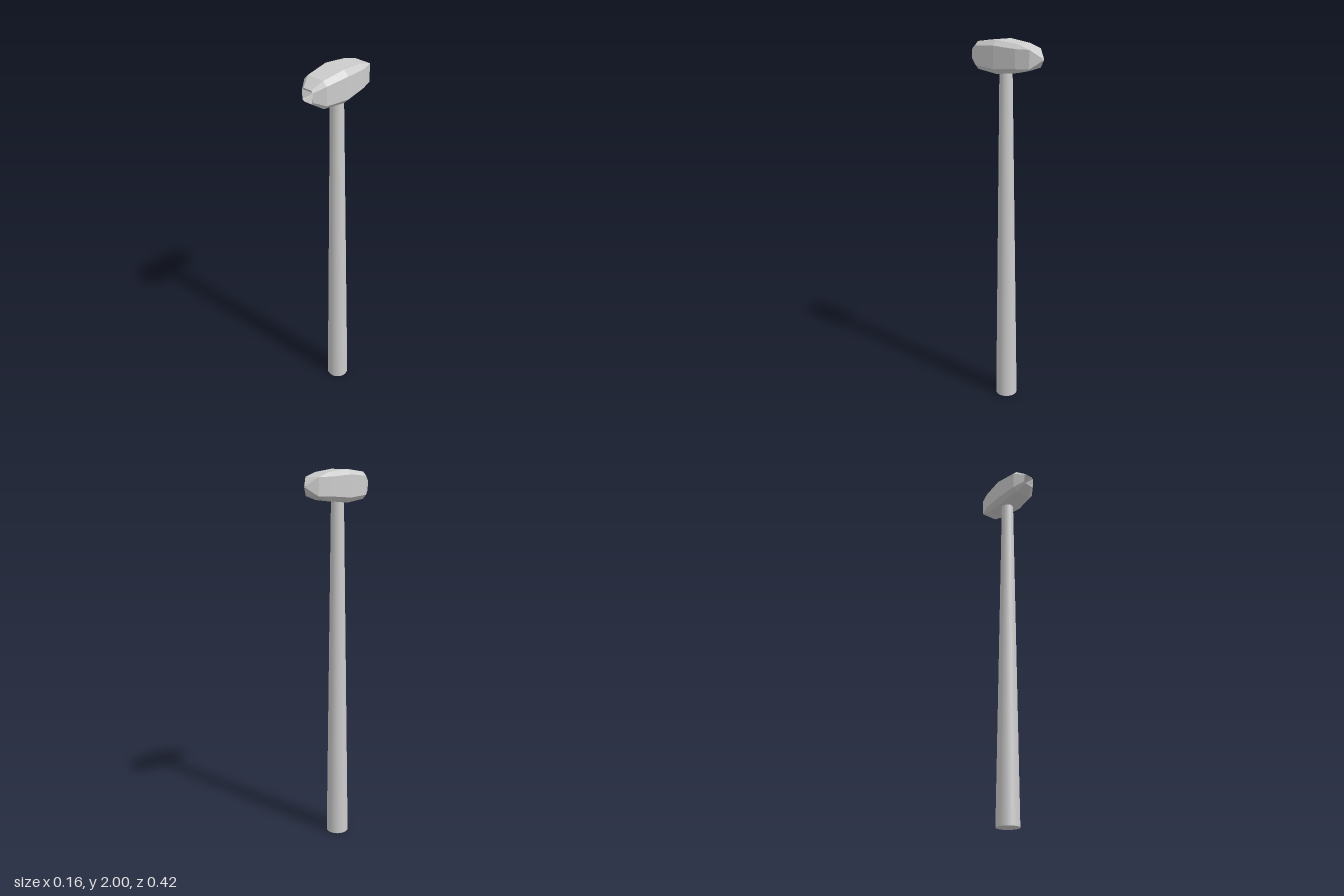
import * as THREE from 'three';

const HEAD_Y = 1.918;

// Chamfered square: half size h, half length of each flat f, counter-clockwise from +z
function section(z, h, f) {
  return [[h, -f], [h, f], [f, h], [-f, h], [-h, f], [-h, -f], [-f, -h], [f, -h]]
    .map(([x, y]) => [x, y, z]);
}

// Skin a row of sections running from -z to +z with flat faces
function loft(rings) {
  const pos = [];
  for (let i = 0; i < rings.length - 1; i++) {
    for (let j = 0; j < 8; j++) {
      const k = (j + 1) % 8;
      const a = rings[i][j], b = rings[i][k], c = rings[i + 1][k], d = rings[i + 1][j];
      pos.push(...a, ...b, ...c, ...a, ...c, ...d);
    }
  }
  const geo = new THREE.BufferGeometry();
  geo.setAttribute('position', new THREE.Float32BufferAttribute(pos, 3));
  geo.computeVertexNormals();
  return geo;
}

export function createModel() {
  const group = new THREE.Group();

  // Tapered round handle, widest at the foot
  const bottom = 0, top = 1.86;
  const handle = new THREE.Mesh(
    new THREE.CylinderGeometry(0.033, 0.06, top - bottom, 24),
    new THREE.MeshStandardMaterial({ color: 0xcccccc })
  );
  handle.name = 'handle';
  handle.position.set(0, (top + bottom) / 2, 0.016);
  group.add(handle);

  // Faceted head: pointed square tip at the back, dished striking face at the front
  const head = new THREE.Mesh(
    loft([
      section(-0.212, 0, 0),
      section(-0.212, 0.005, 0.005),
      section(-0.163, 0.046, 0.046),
      section(-0.095, 0.068, 0.047),
      section(0.03, 0.082, 0.056),
      section(0.157, 0.068, 0.047),
      section(0.21, 0.033, 0.023),
      section(0.17, 0, 0),
    ]),
    new THREE.MeshStandardMaterial({ color: 0xcccccc, flatShading: true })
  );
  head.name = 'hammerHead';
  head.position.y = HEAD_Y;
  group.add(head);

  return group;
}
